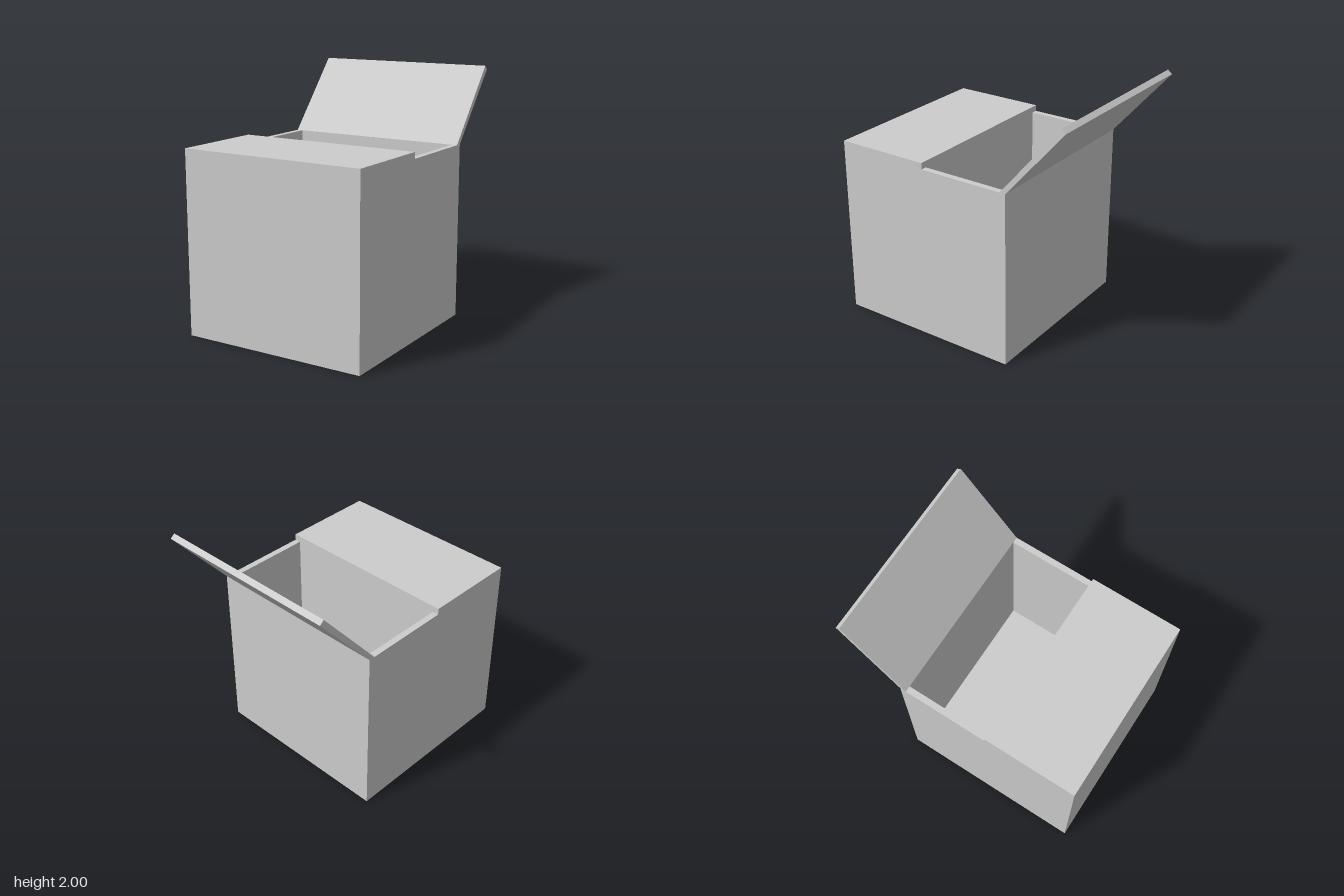
import * as THREE from 'three';

const W = 1.52, T = 0.05;            // width, wall thickness
const RIM = 1.415, TOP = 1.466;      // rim of the bin, raised front top
const BACK = -0.52, STEP = 0.23, FRONT = 1;

export function createModel() {
  const group = new THREE.Group();
  const grey = new THREE.MeshStandardMaterial({ color: 0xcccccc });
  grey.name = 'grey';

  // box given by its min and max corners
  const box = (name, x0, x1, y0, y1, z0, z1) => {
    const mesh = new THREE.Mesh(new THREE.BoxGeometry(x1 - x0, y1 - y0, z1 - z0), grey);
    mesh.position.set((x0 + x1) / 2, (y0 + y1) / 2, (z0 + z1) / 2);
    mesh.name = name;
    group.add(mesh);
  };

  const h = W / 2;
  // closed front half with its raised top
  box('frontCompartment', -h, h, 0, TOP, STEP, FRONT);

  // open rear half: floor, back and side walls
  box('floor', -h, h, 0, T, BACK, STEP);
  box('backWall', -h, h, T, RIM, BACK, BACK + T);
  box('rightWall', h - T, h, T, RIM, BACK + T, STEP);
  box('leftWall', -h, -h + T, T, RIM, BACK + T, STEP);

  // open lid: side profile in (z, y), swept across the width
  const profile = new THREE.Shape([
    [BACK + T, RIM], [-0.965, 2], [-1, 1.97], [BACK, RIM],
  ].map(([z, y]) => new THREE.Vector2(-z, y)));
  const lidGeometry = new THREE.ExtrudeGeometry(profile, { depth: W, bevelEnabled: false });
  lidGeometry.translate(0, 0, -h).rotateY(Math.PI / 2);
  const lid = new THREE.Mesh(lidGeometry, grey);
  lid.name = 'openLid';
  group.add(lid);

  return group;
}
